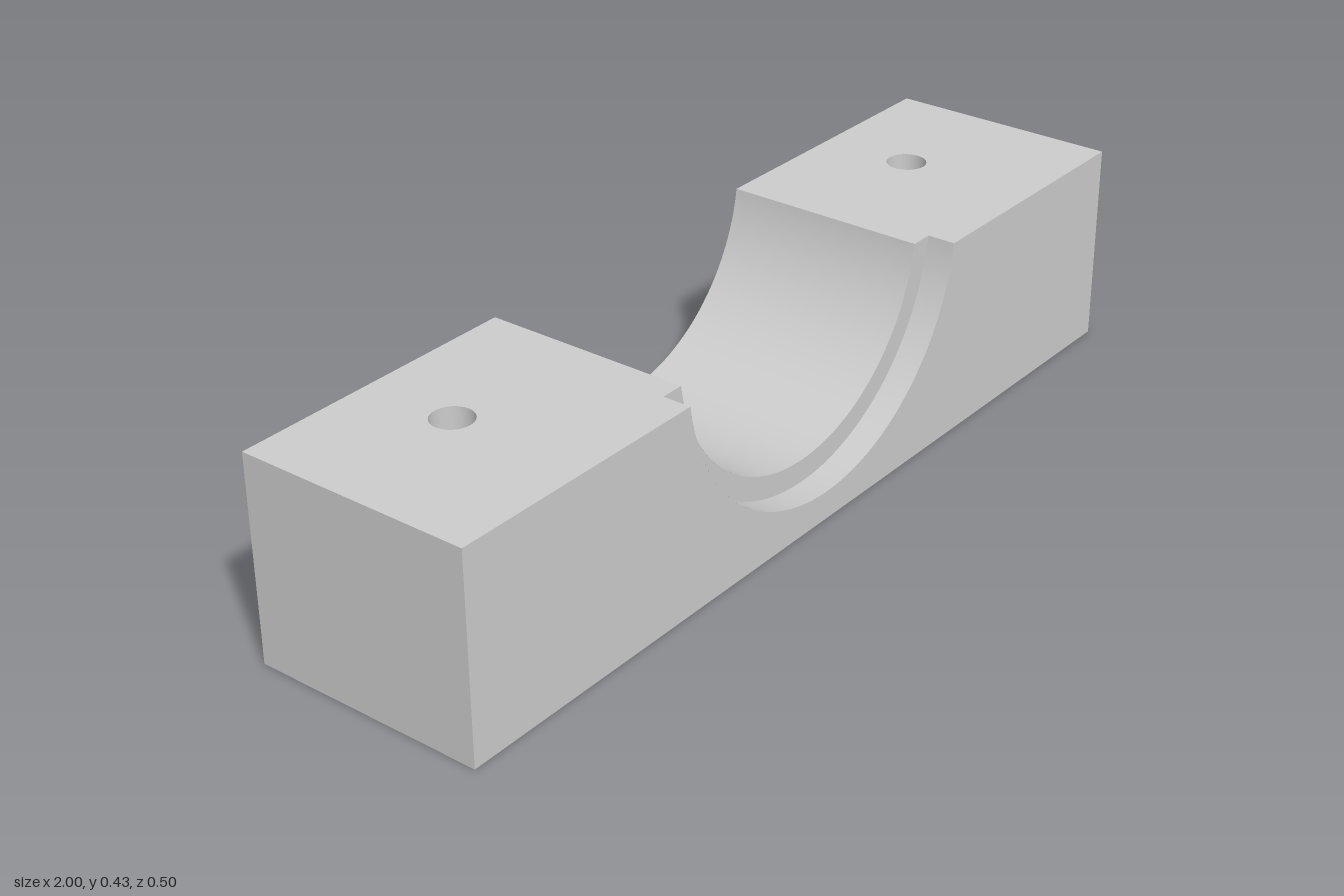
import * as THREE from 'three';

const H = 0.43, D = 0.25;           // block height, half depth
const C = 0.484;                    // height of the bore axis
const BORE = 0.374, RECESS = 0.423; // bore and front counterbore radii
const STEP = 0.19;                  // z where the counterbore ends
const SEG = 64;
const sweep = r => Math.acos((C - H) / r); // half angle of an arc below the top face

// Polygonal circle matching the vertex layout of CylinderGeometry
function circlePoints(x, y, r, n) {
  return Array.from({ length: n }, (_, i) => {
    const t = (i / n) * Math.PI * 2;
    return new THREE.Vector2(x + r * Math.sin(t), y + r * Math.cos(t));
  });
}

// Outline of the block with a round cut of radius r
function saddleShape(r) {
  const a = sweep(r), s = new THREE.Shape();
  s.moveTo(-1, 0);
  s.lineTo(1, 0);
  s.lineTo(1, H);
  s.absarc(0, C, r, -Math.PI / 2 + a, -Math.PI / 2 - a, true);
  s.lineTo(-1, H);
  return s;
}

// Crescent between counterbore and bore
function ledgeShape() {
  const a = sweep(RECESS), b = sweep(BORE), s = new THREE.Shape();
  s.absarc(0, C, RECESS, -Math.PI / 2 - a, -Math.PI / 2 + a, false);
  s.absarc(0, C, BORE, -Math.PI / 2 + b, -Math.PI / 2 - b, true);
  return s;
}

// Curved trough from z0 to z1
function trough(r, z0, z1) {
  const a = sweep(r);
  return new THREE.CylinderGeometry(r, r, z1 - z0, SEG, 1, true, -a, 2 * a)
    .rotateX(Math.PI / 2).translate(0, C, (z0 + z1) / 2);
}

export function createModel() {
  const group = new THREE.Group();
  const smooth = new THREE.MeshStandardMaterial({ color: 0xcccccc, side: THREE.DoubleSide });
  const faceted = new THREE.MeshStandardMaterial({ color: 0xcccccc, side: THREE.DoubleSide, flatShading: true });
  const add = (name, geometry, material = smooth) => {
    const mesh = new THREE.Mesh(geometry, material);
    mesh.name = name;
    group.add(mesh);
  };

  // Front and back faces, and the ledge of the counterbore
  add('frontFace', new THREE.ShapeGeometry(saddleShape(RECESS), SEG).translate(0, 0, D));
  add('backFace', new THREE.ShapeGeometry(saddleShape(BORE), SEG).rotateY(Math.PI).translate(0, 0, -D));
  add('recessLedge', new THREE.ShapeGeometry(ledgeShape(), SEG).translate(0, 0, STEP));

  // Curved walls
  add('bore', trough(BORE, -D, STEP));
  add('recessWall', trough(RECESS, STEP, D));

  // Hole positions
  const boltX = 0.7, boltZ = -0.05, boltR = 0.042, boltN = 32;
  const pinX = 0.12, pinZ = 0.124, pinR = 0.032, pinN = 8, pinDepth = 0.08;
  const bottom = new THREE.Shape([[-1, -D], [1, -D], [1, D], [-1, D]].map(p => new THREE.Vector2(...p)));
  const xBore = BORE * Math.sin(sweep(BORE)), xRecess = RECESS * Math.sin(sweep(RECESS));

  for (const side of [1, -1]) {
    const label = side > 0 ? 'left' : 'right';
    // End face
    add(label + 'End', new THREE.PlaneGeometry(2 * D, H).rotateY(side * Math.PI / 2).translate(side, H / 2, 0));

    // Top land, notched at the counterbore, with a bolt hole
    const land = new THREE.Shape([[xBore, D], [xBore, -STEP], [xRecess, -STEP], [xRecess, -D], [1, -D], [1, D]]
      .map(([x, y]) => new THREE.Vector2(side * x, y)));
    land.holes.push(new THREE.Path(circlePoints(side * boltX, -boltZ, boltR, boltN)));
    add(label + 'Land', new THREE.ShapeGeometry(land).rotateX(-Math.PI / 2).translate(0, H, 0));

    // Bolt hole straight through
    bottom.holes.push(new THREE.Path(circlePoints(side * boltX, boltZ, boltR, boltN)));
    add(label + 'BoltHole', new THREE.CylinderGeometry(boltR, boltR, H, boltN, 1, true)
      .translate(side * boltX, H / 2, boltZ));

    // Blind pin holes in the underside
    for (const s of [1, -1]) {
      const x = side * pinX, z = s * pinZ;
      bottom.holes.push(new THREE.Path(circlePoints(x, z, pinR, pinN)));
      add(label + 'PinHole', new THREE.CylinderGeometry(pinR, pinR, pinDepth, pinN, 1, true)
        .translate(x, pinDepth / 2, z), faceted);
      add(label + 'PinHoleFloor', new THREE.ShapeGeometry(new THREE.Shape(circlePoints(x, z, pinR, pinN)))
        .rotateX(Math.PI / 2).translate(0, pinDepth, 0));
    }
  }

  // Underside
  add('underside', new THREE.ShapeGeometry(bottom).rotateX(Math.PI / 2));
  return group;
}
